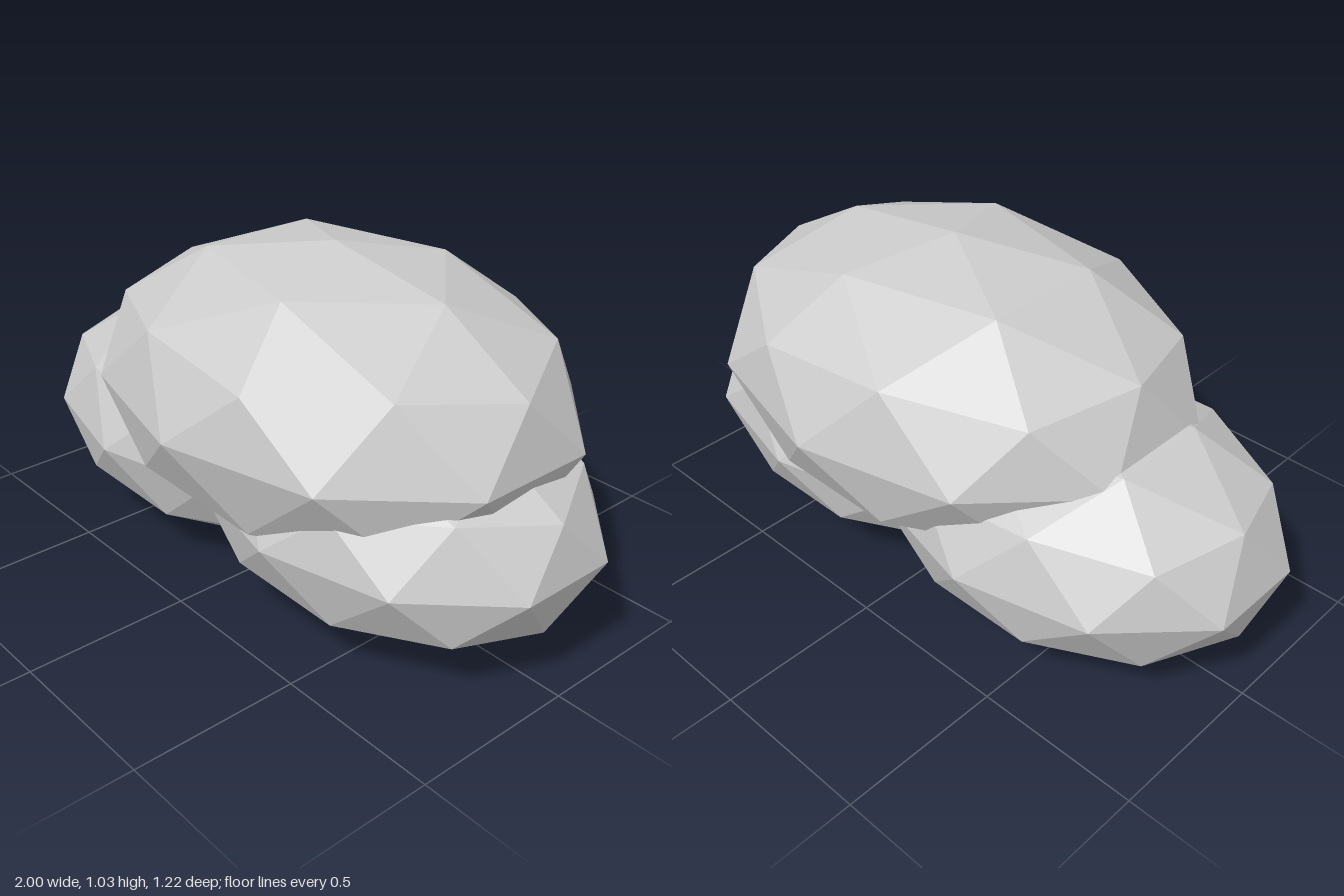
import * as THREE from 'three';

const material = new THREE.MeshStandardMaterial({ color: 0xcccccc, flatShading: true });

// Faceted boulder: an 80-sided icosphere with a vertex at its top, stretched per axis
function makeBoulder(name, center, radii) {
  const geometry = new THREE.IcosahedronGeometry(1, 1);
  geometry.rotateZ(Math.atan(2 / (1 + Math.sqrt(5)))); // bring a corner to the pole
  geometry.rotateY(Math.PI); // upper ring corner points to +x
  geometry.scale(...radii);
  geometry.computeVertexNormals();
  const mesh = new THREE.Mesh(geometry, material);
  mesh.name = name;
  mesh.position.set(...center);
  return mesh;
}

export function createModel() {
  const group = new THREE.Group();
  group.name = 'boulderPile';

  // Two equal boulders side by side on the ground
  for (const [name, side] of [['leftBoulder', 1], ['rightBoulder', -1]]) {
    group.add(makeBoulder(name, [side * 0.371, 0.352, 0], [0.661, 0.352, 0.497]));
  }

  // Larger boulder resting on top, slightly off centre
  group.add(makeBoulder('topBoulder', [0.109, 0.603, 0], [0.801, 0.425, 0.61]));

  return group;
}
